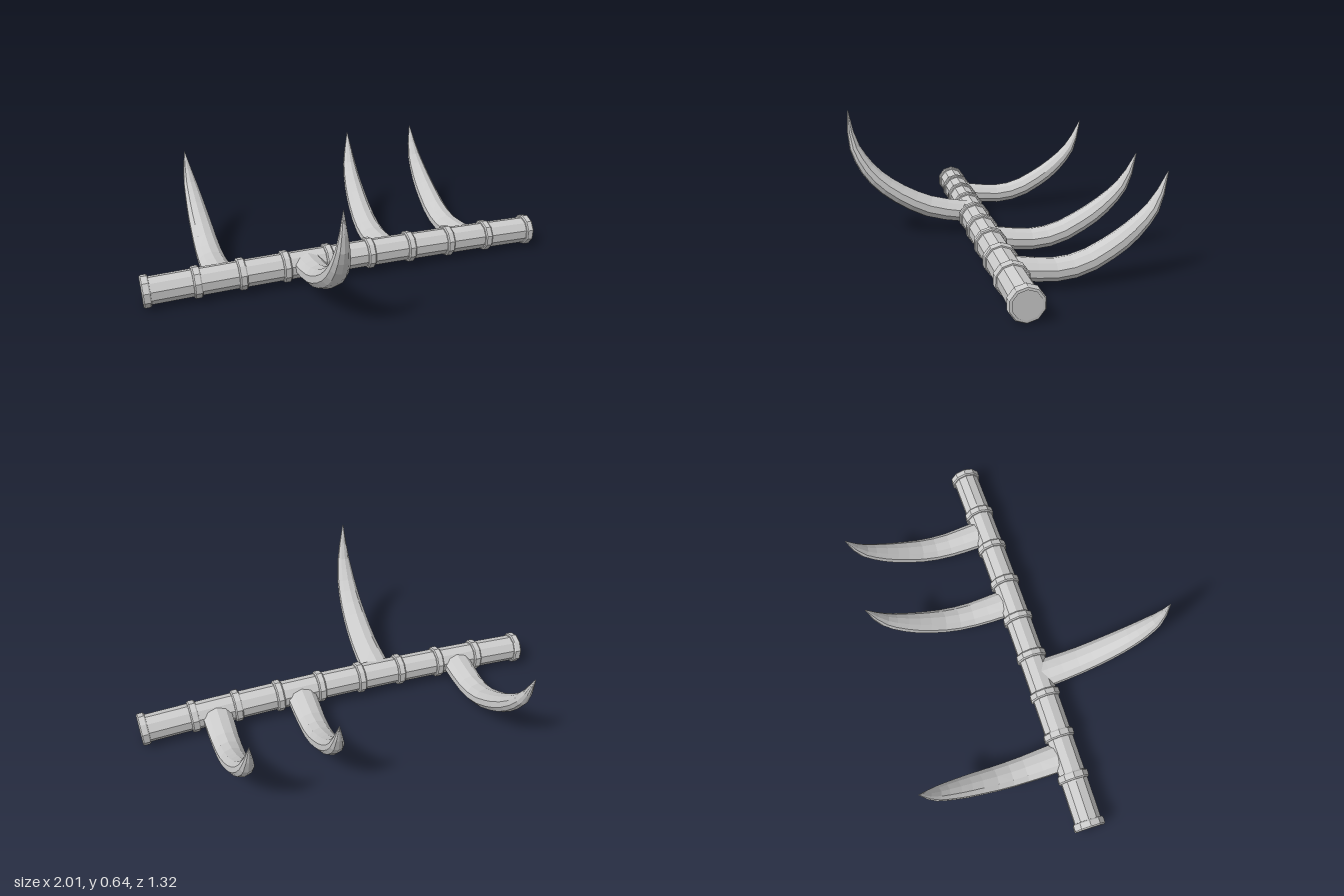
import * as THREE from 'three';

const SIDES = 10;
const material = new THREE.MeshStandardMaterial({ color: 0xcccccc, flatShading: true });

// Sweep an elliptical section through stations { c, rx, ry }; rx is measured along "side".
function sweep(name, stations, side, capped) {
  const rings = stations.map(({ c, rx, ry }, i) => {
    const prev = stations[Math.max(i - 1, 0)].c;
    const next = stations[Math.min(i + 1, stations.length - 1)].c;
    const tangent = next.clone().sub(prev).normalize();
    const u = side.clone().addScaledVector(tangent, -side.dot(tangent)).normalize();
    const v = tangent.clone().cross(u);
    return Array.from({ length: SIDES }, (_, j) => {
      const a = ((j + 0.5) / SIDES) * Math.PI * 2;
      return c.clone().addScaledVector(u, Math.cos(a) * rx).addScaledVector(v, Math.sin(a) * ry);
    });
  });
  const tris = [];
  for (let j = 0; j < SIDES; j++) {
    const k = (j + 1) % SIDES;
    for (let i = 0; i < rings.length - 1; i++) {
      const [a, b] = [rings[i], rings[i + 1]];
      tris.push(a[j], a[k], b[k], a[j], b[k], b[j]);
    }
    if (capped) {
      const last = rings.length - 1;
      tris.push(stations[0].c, rings[0][k], rings[0][j]);
      tris.push(stations[last].c, rings[last][j], rings[last][k]);
    }
  }
  const geometry = new THREE.BufferGeometry().setFromPoints(tris);
  geometry.computeVertexNormals();
  const mesh = new THREE.Mesh(geometry, material);
  mesh.name = name;
  return mesh;
}

// Gently arched centre line of the pole
const poleCentre = (x) => new THREE.Vector3(x, 0.1 - 0.018 * x * x, 0.052 - 0.01 * x * x);
const poleStation = (x, r) => ({ c: poleCentre(x), rx: r, ry: r });

// Tusk profiles: z, y, half width, half thickness
const BACK_TUSK = [
  [0.05, 0.1, 0.073, 0.05], [-0.04, 0.088, 0.072, 0.05], [-0.16, 0.077, 0.067, 0.05],
  [-0.28, 0.096, 0.063, 0.05], [-0.395, 0.152, 0.057, 0.048], [-0.475, 0.205, 0.051, 0.045],
  [-0.553, 0.275, 0.041, 0.036], [-0.606, 0.345, 0.029, 0.025], [-0.655, 0.475, 0.002, 0.002],
];
const FRONT_TUSK = [
  [0.05, 0.105, 0.074, 0.054], [0.14, 0.113, 0.073, 0.055], [0.27, 0.141, 0.068, 0.055],
  [0.38, 0.192, 0.064, 0.051], [0.475, 0.253, 0.058, 0.047], [0.55, 0.323, 0.05, 0.041],
  [0.602, 0.4, 0.04, 0.033], [0.638, 0.485, 0.026, 0.022], [0.656, 0.64, 0.002, 0.002],
];

function tusk(name, profile, rootX, tipX) {
  const n = profile.length - 1;
  const path = new THREE.CatmullRomCurve3(profile.map(([z, y], i) =>
    new THREE.Vector3(rootX + (tipX - rootX) * (i / n) ** 2, y, z)));
  const radii = new THREE.CatmullRomCurve3(profile.map(([, , rx, ry]) =>
    new THREE.Vector3(rx, ry, 0)), false, 'catmullrom');
  const steps = 12;
  const stations = Array.from({ length: steps + 1 }, (_, i) => {
    const r = radii.getPoint(i / steps);
    return { c: path.getPoint(i / steps), rx: r.x, ry: r.y };
  });
  return sweep(name, stations, new THREE.Vector3(1, 0, 0), true);
}

export function createModel() {
  const model = new THREE.Group();
  model.name = 'tuskedPole';
  const zAxis = new THREE.Vector3(0, 0, 1);

  // Pole
  const poleStations = Array.from({ length: 10 }, (_, i) =>
    poleStation(-0.996 + (1.992 * i) / 9, 0.067));
  model.add(sweep('pole', poleStations, zAxis, true));

  // Bevelled bands around the pole
  const bandProfile = [[-0.02, 0.062], [-0.019, 0.073], [-0.013, 0.078],
    [0.013, 0.078], [0.019, 0.073], [0.02, 0.062]];
  const bands = new THREE.Group();
  bands.name = 'bands';
  for (const x of [-0.98, -0.747, -0.535, -0.322, -0.11, 0.102, 0.315, 0.527, 0.74, 0.98]) {
    const stations = bandProfile.map(([dx, r]) => poleStation(x + dx, r));
    bands.add(sweep('band', stations, zAxis, false));
  }
  model.add(bands);

  // Three tusks sweep backward, one forward
  model.add(tusk('backTuskRight', BACK_TUSK, -0.635, -0.66));
  model.add(tusk('backTuskMiddle', BACK_TUSK, 0.207, 0.24));
  model.add(tusk('backTuskLeft', BACK_TUSK, 0.632, 0.615));
  model.add(tusk('frontTusk', FRONT_TUSK, -0.215, -0.236));
  return model;
}
